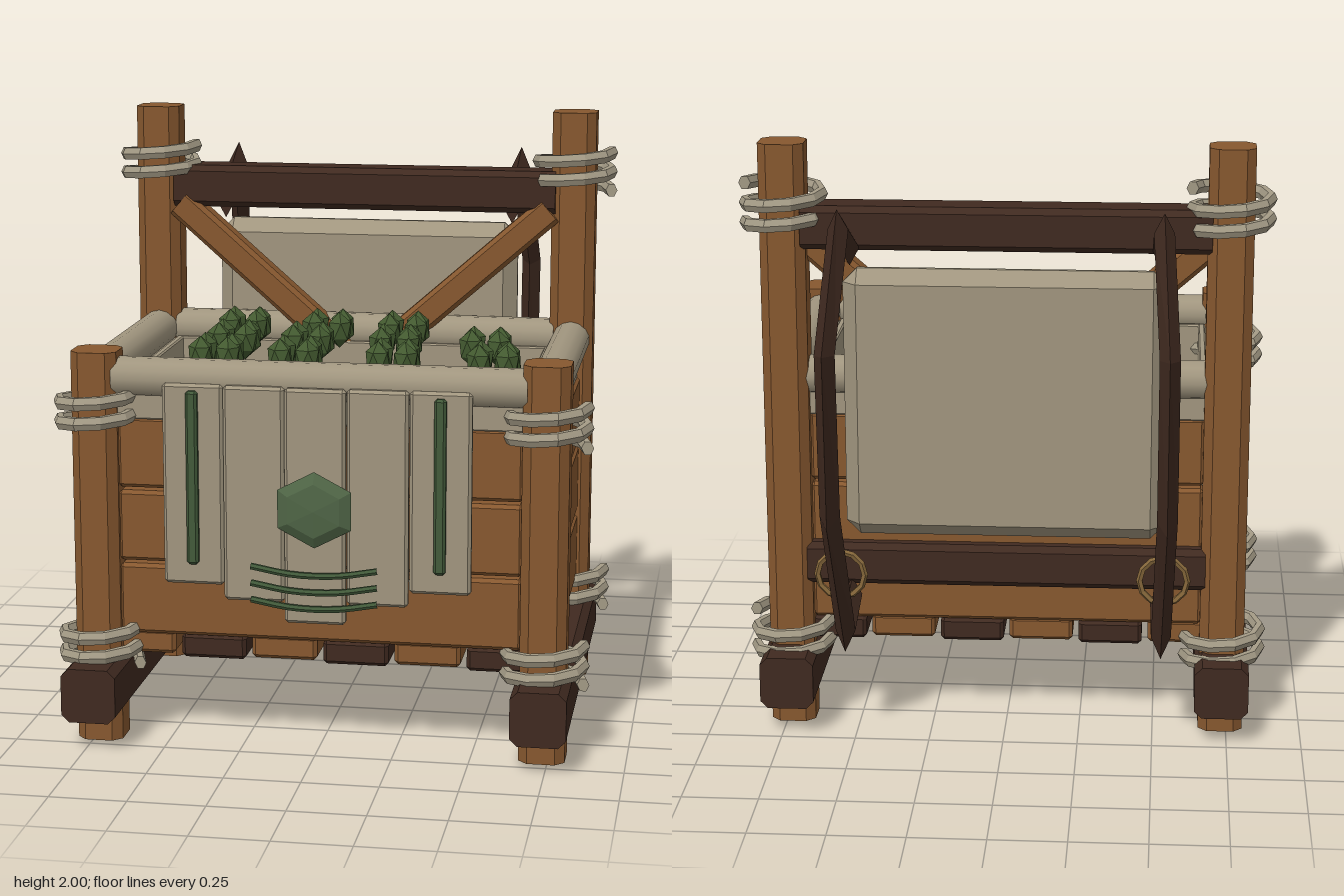
import * as THREE from 'three';
import { ConvexGeometry } from 'three/addons/geometries/ConvexGeometry.js';

const mat = (color, flatShading = true) => new THREE.MeshStandardMaterial({ color, flatShading });
const WOOD = mat(0x87582f), DARK = mat(0x402a20), ROPE = mat(0xa39a85);
const CLOTH = mat(0xa1967f), CLOTH_SMOOTH = mat(0xa1967f, false);
const LEAF = mat(0x435a30), TRIM = mat(0x425a3a), GEM = mat(0x4f6546), BRASS = mat(0x84663a);

const V = (x, y, z) => new THREE.Vector3(x, y, z);

// Box with every edge chamfered by b
function chamferBox(w, h, d, b) {
  const pts = [];
  for (const x of [-1, 1]) for (const y of [-1, 1]) for (const z of [-1, 1]) {
    const X = w / 2, Y = h / 2, Z = d / 2;
    pts.push(V(x * X, y * (Y - b), z * (Z - b)), V(x * (X - b), y * Y, z * (Z - b)), V(x * (X - b), y * (Y - b), z * Z));
  }
  return new ConvexGeometry(pts);
}

// Timber along z with chamfered long edges and square-cut ends
function timber(w, h, length, b) {
  const pts = [];
  for (const x of [-1, 1]) for (const y of [-1, 1]) for (const z of [-length / 2, length / 2])
    pts.push(V(x * w / 2, y * (h / 2 - b), z), V(x * (w / 2 - b), y * h / 2, z));
  return new ConvexGeometry(pts);
}

// Closed-ended solid swept through rings, each counter-clockwise seen against the sweep
function loft(rings) {
  const n = rings[0].length, idx = [], last = (rings.length - 1) * n;
  for (let i = 0; i < rings.length - 1; i++) for (let j = 0; j < n; j++) {
    const a = i * n + j, b = i * n + (j + 1) % n;
    idx.push(a, b, a + n, b, b + n, a + n);
  }
  for (let j = 1; j < n - 1; j++) idx.push(0, j + 1, j, last, last + j, last + j + 1);
  const g = new THREE.BufferGeometry().setFromPoints(rings.flat());
  g.setIndex(idx);
  g.computeVertexNormals();
  return g;
}

// Rope lashing: two rising turns with a hexagonal section
function ropeCoil() {
  const rings = [];
  for (let i = 0; i <= 20; i++) {
    const t = i / 20 * Math.PI * 4, ring = [];
    for (let j = 0; j < 6; j++) {
      const a = j / 6 * Math.PI * 2, r = 0.127 + 0.02 * Math.cos(a);
      ring.push(V(r * Math.cos(t), -0.07 + 0.13 * i / 20 + 0.024 * Math.sin(a), -r * Math.sin(t)));
    }
    rings.push(ring.reverse());
  }
  return loft(rings);
}

export function createModel() {
  const model = new THREE.Group();
  const add = (name, geo, m, x = 0, y = 0, z = 0, parent = model) => {
    const mesh = new THREE.Mesh(geo, m);
    mesh.name = name;
    mesh.position.set(x, y, z);
    parent.add(mesh);
    return mesh;
  };
  const box = (name, m, w, h, d, x, y, z, b = 0.012) => add(name, chamferBox(w, h, d, b), m, x, y, z);
  const coil = ropeCoil();

  // Posts, skids, side walls and straps, mirrored
  for (const s of [-1, 1]) {
    const x = s * 0.73;
    add('frontPost', timber(0.15, 0.15, 1.3, 0.03).rotateX(Math.PI / 2), WOOD, x, 0.65, 0.64);
    add('backPost', timber(0.15, 0.15, 2, 0.03).rotateX(Math.PI / 2), WOOD, x, 1, -0.29);
    add('skid', timber(0.18, 0.18, 1.335, 0.025), DARK, x, 0.19, 0.1725);
    for (const y of [0.32, 1.1]) add('ropeLashing', coil, ROPE, x, y, 0.64);
    for (const y of [0.32, 1.8]) add('ropeLashing', coil, ROPE, x, y, -0.29);

    for (let i = 0; i < 3; i++) box('sidePlank', WOOD, 0.08, 0.235, 0.82, s * 0.725, 0.48 + i * 0.245, 0.175);
    box('sideLining', CLOTH, 0.025, 0.82, 0.8, s * 0.652, 0.78, 0.175, 0.005);
    box('sideLiningFold', CLOTH, 0.09, 0.1, 0.82, s * 0.71, 1.13, 0.175, 0.005);
    add('sideRoll', new THREE.CylinderGeometry(0.065, 0.065, 0.84, 14).rotateX(Math.PI / 2), CLOTH_SMOOTH, s * 0.73, 1.215, 0.175);

    // Diagonal brace
    add('brace', timber(0.09, 0.1, 0.83, 0.015).rotateY(Math.PI / 2), WOOD, s * 0.338, 1.39, -0.25).rotation.z = s * 0.72;

    // Shoulder strap with a diamond section: inner z, y, outer z, y, then x
    const path = [
      [-0.34, 1.60, -0.34, 1.72, 0.51], [-0.55, 1.70, -0.60, 1.84, 0.515], [-0.70, 1.40, -0.84, 1.42, 0.54],
      [-0.64, 0.89, -0.80, 0.84, 0.54], [-0.48, 0.46, -0.52, 0.32, 0.525], [-0.34, 0.52, -0.34, 0.40, 0.52]];
    const rings = path.map(([zi, yi, zo, yo, px]) => {
      const zm = (zi + zo) / 2, ym = (yi + yo) / 2;
      return [V(s * px, yi, zi), V(s * px - 0.033, ym, zm), V(s * px, yo, zo), V(s * px + 0.033, ym, zm)];
    });
    add('shoulderStrap', loft(rings), DARK);
    add('strapRing', new THREE.TorusGeometry(0.078, 0.011, 5, 12), BRASS, s * 0.53, 0.605, -0.547);
  }

  // Floor slats in alternating woods
  for (let i = 0; i < 6; i++)
    box('floorSlat', i % 2 ? DARK : WOOD, 0.215, 0.08, 0.95, -0.587 + i * 0.235, 0.325 + (i % 2 ? -0.004 : 0.005), 0.18);

  // Front and back walls with linings
  for (const [side, z, zl, zr] of [['front', 0.635, 0.565, 0.643], ['back', -0.265, -0.215, -0.277]]) {
    for (let i = 0; i < 3; i++) box(side + 'Plank', WOOD, 1.32, 0.235, 0.08, 0, 0.48 + i * 0.245, z);
    box(side + 'Lining', CLOTH, 1.3, 0.82, 0.025, 0, 0.78, zl, 0.005);
    box(side + 'LiningFold', CLOTH, 1.32, 0.1, 0.08, 0, 1.13, z, 0.005);
    add(side + 'Roll', new THREE.CylinderGeometry(0.065, 0.065, 1.34, 14).rotateZ(Math.PI / 2), CLOTH_SMOOTH, 0, 1.215, zr);
  }

  // Back crossbeams and padding
  add('topBeam', timber(0.15, 0.145, 1.34, 0.02).rotateY(Math.PI / 2), DARK, 0, 1.725, -0.285);
  add('lowerBeam', timber(0.13, 0.145, 1.34, 0.02).rotateY(Math.PI / 2), DARK, 0, 0.57, -0.29);
  box('backPad', CLOTH, 1.06, 0.91, 0.11, 0, 1.145, -0.365, 0.047);

  // Front apron: stepped cloth strips
  for (const [x, bottom, z] of [[-0.4, 0.55, 0.7], [-0.2, 0.505, 0.712], [0, 0.44, 0.722], [0.2, 0.505, 0.712], [0.4, 0.55, 0.7]])
    box('apronStrip', CLOTH, 0.198, 1.21 - bottom, 0.035, x, (1.21 + bottom) / 2, z, 0.01);
  for (const s of [-1, 1]) box('apronBar', TRIM, 0.038, 0.57, 0.03, s * 0.4, 0.905, 0.724, 0.008);
  for (let i = 0; i < 3; i++) {
    const y = 0.605 - i * 0.055;
    const curve = new THREE.CatmullRomCurve3([V(-0.205, y + 0.025, 0.755), V(-0.07, y + 0.003, 0.755), V(0.07, y + 0.003, 0.755), V(0.205, y + 0.025, 0.755)]);
    add('apronStitch', new THREE.TubeGeometry(curve, 10, 0.011, 6), TRIM);
  }
  const stud = new THREE.SphereGeometry(0.125, 6, 4).rotateX(Math.PI / 2).rotateZ(Math.PI / 2).scale(1.1, 1, 0.22);
  add('apronStud', stud, GEM, 0, 0.82, 0.747);

  // Leafy sprouts in clusters of four
  const sprout = new THREE.IcosahedronGeometry(0.045, 0).rotateZ(-Math.atan(2 / (1 + Math.sqrt(5)))).scale(1, 1.4, 1);
  const rows = [[-0.13, [-0.4, -0.105, 0.16]], [0.13, [-0.385, -0.13, 0.17, 0.475]], [0.39, [-0.39, -0.125, 0.2, 0.53]]];
  for (const [z, xs] of rows) for (const x of xs) {
    const cluster = new THREE.Group();
    cluster.name = 'sproutCluster';
    cluster.position.set(x, 1.25, z);
    for (const dx of [-0.045, 0.045]) for (const dz of [-0.036, 0.036])
      add('sprout', sprout, LEAF, dx, 0, dz, cluster).rotation.y = dx * 20 + dz * 9;
    model.add(cluster);
  }
  return model;
}
